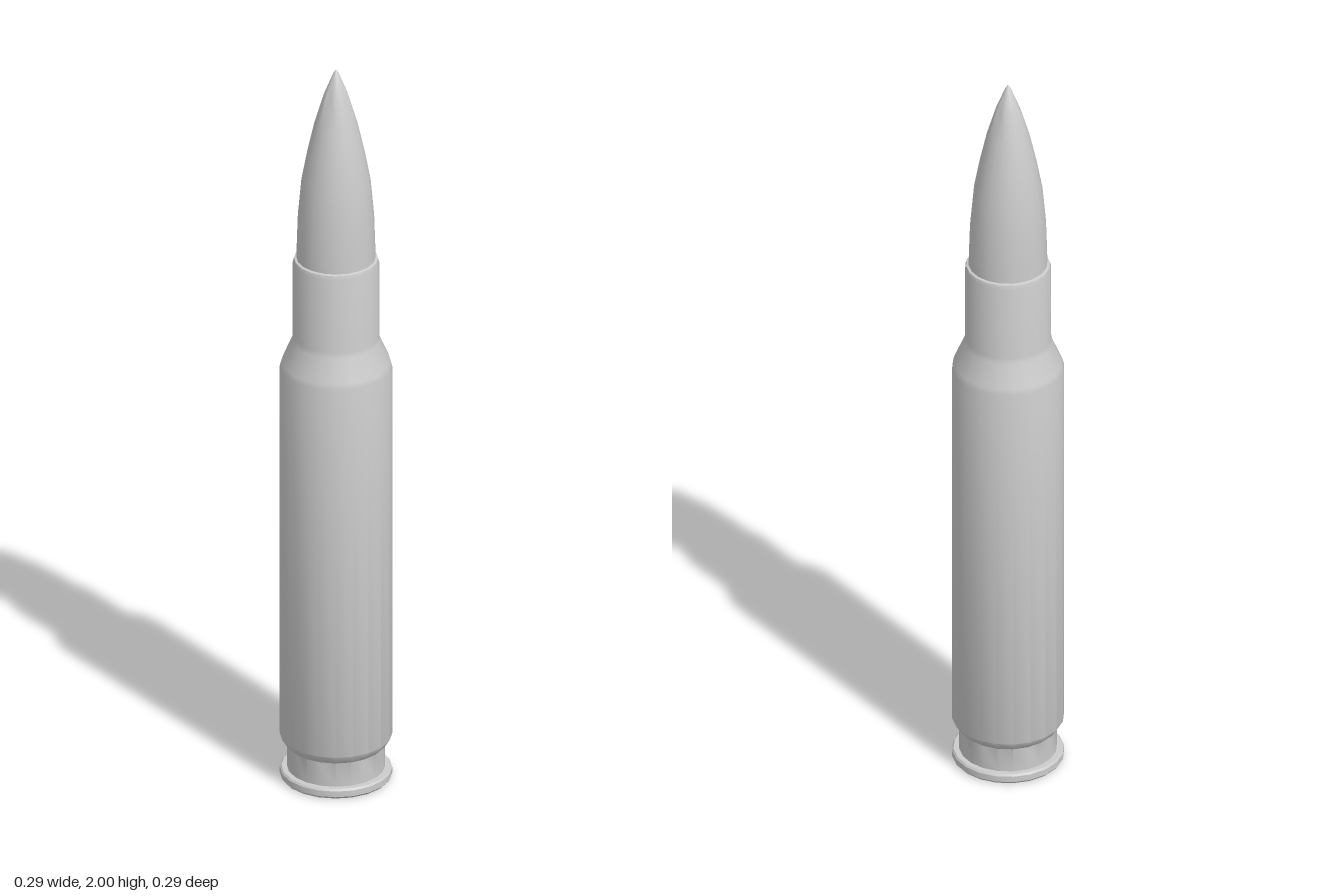
import * as THREE from 'three';
import { toCreasedNormals } from 'three/addons/utils/BufferGeometryUtils.js';

const SIDES = 20;
const material = new THREE.MeshStandardMaterial({ color: 0xcccccc });

// Turns a [radius, height] profile, listed from bottom to top, around the y axis
function turned(name, profile) {
  const points = profile.map(([r, y]) => new THREE.Vector2(r, y));
  const geometry = toCreasedNormals(new THREE.LatheGeometry(points, SIDES), Math.PI / 5);
  const mesh = new THREE.Mesh(geometry, material);
  mesh.name = name;
  return mesh;
}

export function createModel() {
  const group = new THREE.Group();
  group.name = 'cartridge';

  // Flat base, rim and extractor groove
  group.add(turned('rim', [
    [0, 0], [0.138, 0], [0.143, 0.006], [0.143, 0.022], [0.139, 0.027], [0.125, 0.027],
  ]));

  // Straight body, sloped shoulder, neck and rounded mouth
  group.add(turned('case', [
    [0.125, 0.027], [0.125, 0.093], [0.130, 0.098], [0.143, 0.118],
    [0.143, 1.16], [0.139, 1.175], [0.113, 1.235], [0.11, 1.25],
    [0.11, 1.455], [0.107, 1.466], [0.1, 1.468],
  ]));

  // Pointed ogive tip
  group.add(turned('tip', [
    [0.101, 1.45], [0.1, 1.5], [0.097, 1.59], [0.088, 1.69],
    [0.073, 1.77], [0.055, 1.85], [0.031, 1.93], [0.007, 1.99], [0, 2],
  ]));

  return group;
}
